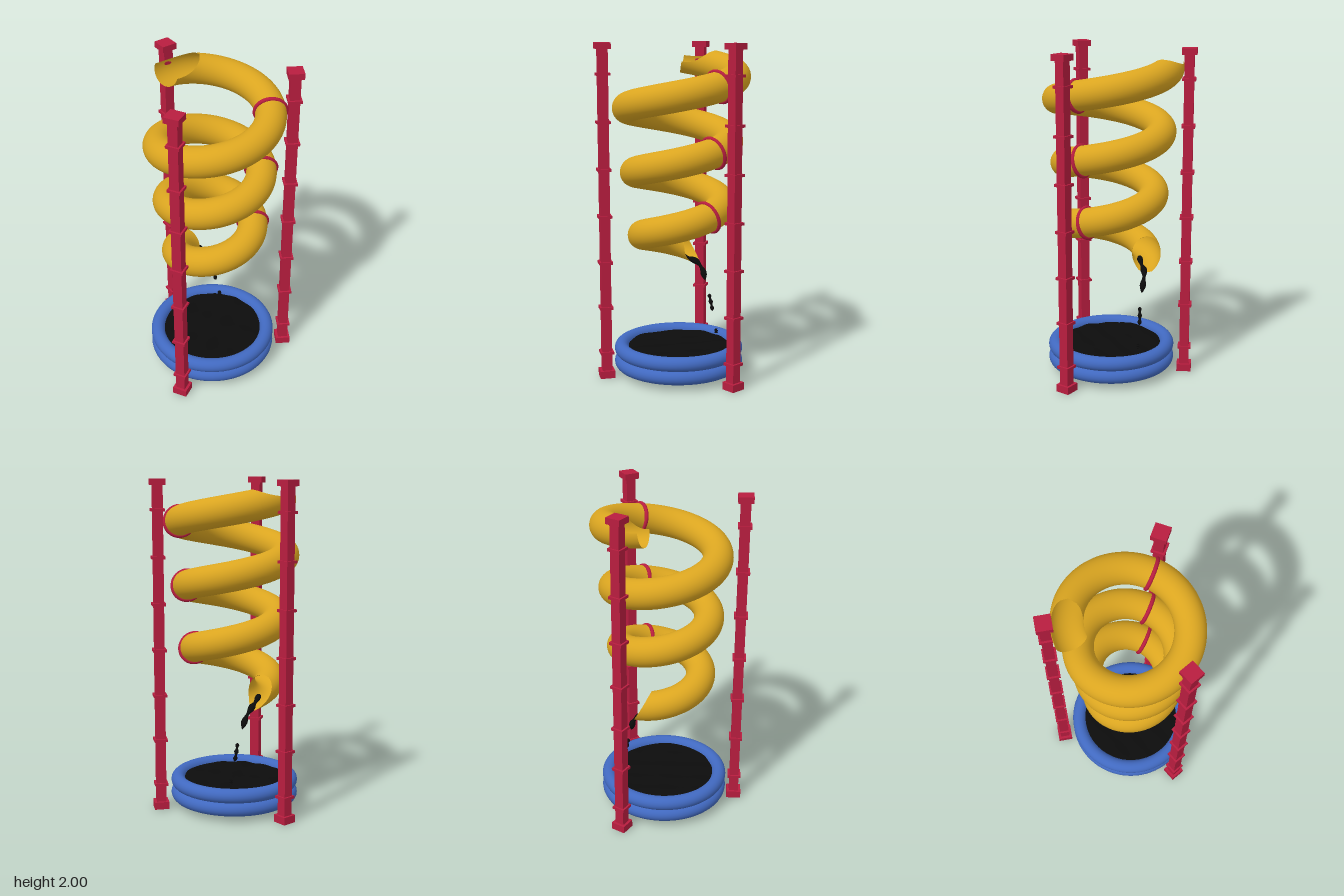
import * as THREE from 'three';

const CX = -0.043, CZ = 0.04;          // axis of the spiral and pool
const T0 = -0.08, T1 = 3.0;            // start and end of the spiral, in turns
const TUBE_R = 0.088;
const DEG = Math.PI / 180;

const red = new THREE.MeshStandardMaterial({ color: 0xb81d3f });
const blue = new THREE.MeshStandardMaterial({ color: 0x4169c0 });
const black = new THREE.MeshStandardMaterial({ color: 0x0c0c0c, side: THREE.DoubleSide });
const yellow = new THREE.MeshStandardMaterial({ color: 0xdaa520, side: THREE.DoubleSide });

function add(parent, name, geometry, material, x = 0, y = 0, z = 0) {
  const mesh = new THREE.Mesh(geometry, material);
  mesh.name = name;
  mesh.position.set(x, y, z);
  parent.add(mesh);
  return mesh;
}

// Point and local axes on the narrowing spiral after t turns
function spiral(t) {
  const a = (t - 0.25) * Math.PI * 2;
  const r = 0.337 - 0.042 * t;
  const out = new THREE.Vector3(Math.cos(a), 0, Math.sin(a));
  const point = new THREE.Vector3(CX + r * out.x, 1.865 - 0.38 * t, CZ + r * out.z);
  const along = new THREE.Vector3(-out.z * r, -0.38 / (Math.PI * 2), out.x * r).normalize();
  const up = new THREE.Vector3().crossVectors(along, out).normalize();
  return { point, out, along, up };
}

// Spiral tube whose upper side is scooped away at both ends
function slideGeometry() {
  const rows = 480, cols = 36, scoop = 0.095;
  const position = [], normal = [], index = [];
  const ease = (d) => (d >= scoop ? 0 : Math.sqrt(1 - (d / scoop) ** 2));
  for (let i = 0; i <= rows; i++) {
    const t = T0 + (T1 - T0) * i / rows;
    const { point, out, up } = spiral(t);
    const inlet = ease(t - T0);
    const d = Math.min(1, (T1 - t) / scoop);
    const outlet = 150 * (1 - d) ** 0.6;
    const gapOut = (78 * inlet + outlet) * DEG;
    const gapIn = (100 * inlet + outlet) * DEG;
    for (let j = 0; j <= cols; j++) {
      const phi = gapOut + (Math.PI * 2 - gapOut - gapIn) * j / cols;
      const n = up.clone().multiplyScalar(Math.cos(phi)).addScaledVector(out, Math.sin(phi));
      normal.push(n.x, n.y, n.z);
      position.push(...point.clone().addScaledVector(n, TUBE_R).toArray());
      if (i < rows && j < cols) {
        const a = i * (cols + 1) + j, b = a + cols + 1;
        index.push(a, b, a + 1, b, b + 1, a + 1);
      }
    }
  }
  const g = new THREE.BufferGeometry();
  g.setAttribute('position', new THREE.Float32BufferAttribute(position, 3));
  g.setAttribute('normal', new THREE.Float32BufferAttribute(normal, 3));
  g.setIndex(index);
  return g;
}

// Square post with end caps and evenly spaced collars
function post(angle) {
  const g = new THREE.Group();
  g.name = 'post';
  const block = (name, w, h, y) => add(g, name, new THREE.BoxGeometry(w, h, w), red, 0, y, 0);
  block('postShaft', 0.058, 1.96, 1.0);
  block('postTopCap', 0.089, 0.036, 1.982);
  block('postFoot', 0.089, 0.045, 0.0225);
  for (let i = 0; i < 7; i++) block('postCollar', 0.08, 0.016, 0.155 + i * 0.2775);
  g.position.set(CX + 0.455 * Math.cos(angle), 0, CZ + 0.455 * Math.sin(angle));
  g.rotation.y = -angle;
  return g;
}

// Lumpy strand of liquid through a few points, tapered at its ends
function strand(points, radius) {
  const curve = new THREE.CatmullRomCurve3(points.map((p) => new THREE.Vector3(...p)));
  const rows = 24, cols = 10;
  const g = new THREE.TubeGeometry(curve, rows, radius, cols);
  const p = g.attributes.position, v = new THREE.Vector3();
  for (let i = 0; i <= rows; i++) {
    const u = i / rows, c = curve.getPointAt(u);
    const taper = Math.pow(Math.max(0, 1 - (2 * u - 1) ** 6), 0.5);
    const k = taper * (0.85 + 0.3 * Math.sin(u * 17));
    for (let j = 0; j <= cols; j++) {
      const n = i * (cols + 1) + j;
      v.fromBufferAttribute(p, n).sub(c).multiplyScalar(k).add(c);
      p.setXYZ(n, v.x, v.y, v.z);
    }
  }
  g.computeVertexNormals();
  return g;
}

export function createModel() {
  const model = new THREE.Group();
  model.name = 'spiralSlide';

  add(model, 'slideTube', slideGeometry(), yellow);

  // Posts, and a clamp ring wherever the tube passes one
  [15, 135, 255].forEach((deg, k) => {
    model.add(post(deg * DEG));
    for (let turn = 0; turn < 3; turn++) {
      const t = (deg + 90) / 360 + turn;
      if (t > 2.9) continue;
      const s = spiral(t);
      const ring = add(model, 'clampRing', new THREE.TorusGeometry(0.091, 0.0125, 10, 40), red);
      ring.position.copy(s.point);
      ring.quaternion.setFromRotationMatrix(new THREE.Matrix4().makeBasis(s.up, s.out, s.along));
    }
  });

  // Inflated pool: two stacked rings and a floor
  const pool = new THREE.Group();
  pool.name = 'pool';
  pool.position.set(CX - 0.007, 0, CZ + 0.006);
  for (const y of [0.077, 0.158]) {
    add(pool, 'poolRing', new THREE.TorusGeometry(0.348, 0.043, 20, 72), blue, 0, y, 0).rotation.x = Math.PI / 2;
  }
  add(pool, 'poolFloor', new THREE.CylinderGeometry(0.345, 0.345, 0.02, 64), blue, 0, 0.06, 0);

  // Gently rippled liquid surface
  const surface = new THREE.RingGeometry(0, 0.335, 64, 10).rotateX(-Math.PI / 2);
  const p = surface.attributes.position;
  for (let i = 0; i < p.count; i++) {
    const x = p.getX(i), z = p.getZ(i);
    p.setY(i, 0.004 * Math.sin(x * 21 + 1) * Math.cos(z * 18) + 0.003 * Math.sin((x + z) * 33));
  }
  surface.computeVertexNormals();
  add(pool, 'poolLiquid', surface, black, 0, 0.168, 0);
  model.add(pool);

  // Liquid running out of the tube and falling into the pool
  add(model, 'liquidStream', strand([
    [-0.15, 0.715, -0.1], [-0.1, 0.675, -0.135], [-0.05, 0.645, -0.17],
    [-0.015, 0.6, -0.178], [0.008, 0.53, -0.175]], 0.018), black);
  add(model, 'liquidDrip', strand([[0.037, 0.45, -0.173], [0.047, 0.4, -0.178], [0.06, 0.34, -0.18]], 0.012), black);
  add(model, 'liquidDrop', strand([[0.083, 0.23, -0.18], [0.086, 0.215, -0.18], [0.087, 0.2, -0.18]], 0.011), black);

  return model;
}
